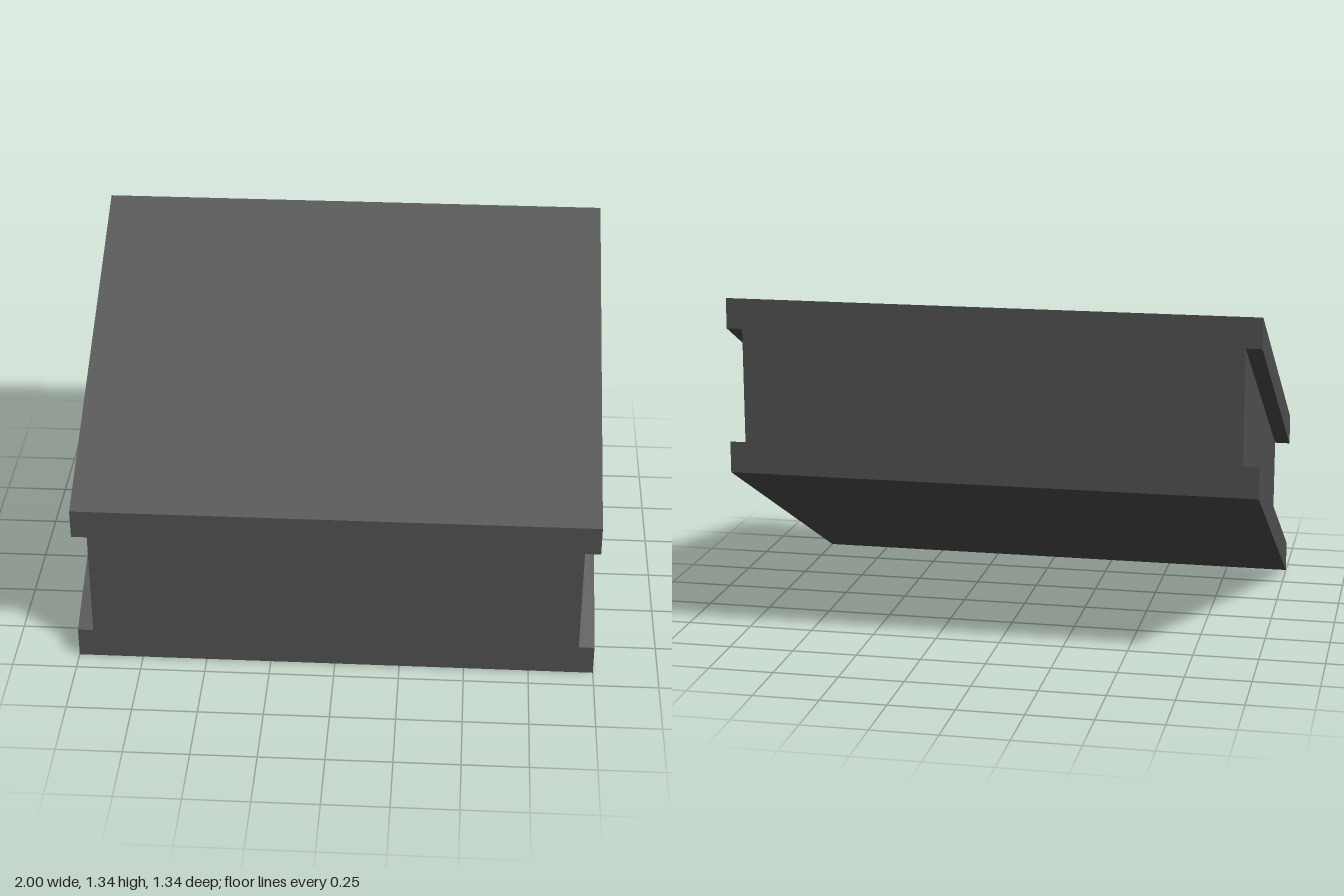
import * as THREE from 'three';

export function createModel() {
  const group = new THREE.Group();
  group.name = 'slantedBeam';

  const darkGrey = new THREE.MeshStandardMaterial({ color: 0x505050 });
  darkGrey.name = 'darkGrey';

  const height = 0.67, halfDepth = 0.67, slope = 0.5;
  const low = 0.12, high = 0.555, web = 0.94;

  // I-shaped cross-section: full-width flanges with a groove along each side
  const right = [[1, 0], [1, low], [web, low], [web, high], [1, high], [1, height]];
  const left = right.map(([x, y]) => [-x, y]).reverse();
  const profile = new THREE.Shape([...right, ...left].map(([x, y]) => new THREE.Vector2(x, y)));

  const geometry = new THREE.ExtrudeGeometry(profile, { depth: 2 * halfDepth, bevelEnabled: false });
  geometry.translate(0, 0, -halfDepth);

  // Shear upward toward the back, keeping the end faces vertical
  const pos = geometry.attributes.position;
  for (let i = 0; i < pos.count; i++) {
    pos.setY(i, pos.getY(i) + (halfDepth - pos.getZ(i)) * slope);
  }
  geometry.computeVertexNormals();

  const beam = new THREE.Mesh(geometry, darkGrey);
  beam.name = 'groovedBeam';
  group.add(beam);
  return group;
}
